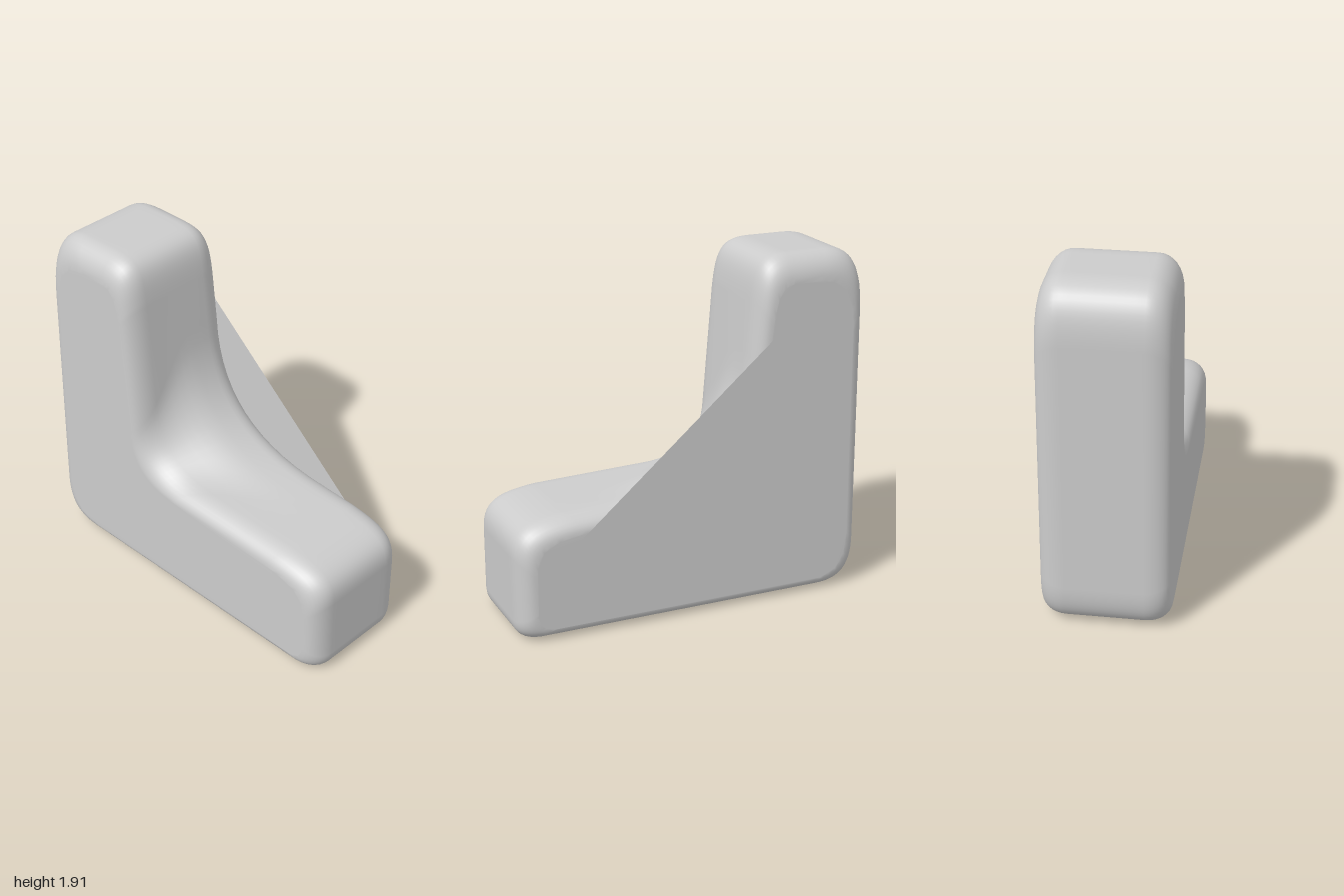
import * as THREE from 'three';

// Closed side outline. k: edge rounding inset (0..1), f: size of the inner fillet
function outline(k, f) {
  const xl = -1 + 0.08 * k, xr = 1 - 0.1 * k;
  const yb = 0.06 * k, yt = 1.915 - 0.15 * k;
  const xi = 0.08 * k, yi = 0.09 * k;
  const cx = -0.29 - xi, cy = 0.69 - yi;
  const s = new THREE.Shape();
  s.moveTo(xl + 0.22, yb);
  s.lineTo(xr - 0.1, yb);
  s.quadraticCurveTo(xr, yb, xr, yb + 0.1);
  s.lineTo(xr, 0.45 - yi);
  s.bezierCurveTo(xr, 0.6 - yi, 0.92 - xi, 0.64 - yi, 0.7 - xi, 0.66 - yi);
  // inner fillet between foot and upright
  s.lineTo(cx + 0.78 * f, cy - 0.02 * f);
  s.quadraticCurveTo(cx, cy, cx - 0.04 * f, cy + 0.7 * f);
  s.lineTo(-0.36 - xi, 1.66 - 0.1 * k);
  s.bezierCurveTo(-0.38 - xi, yt - 0.08, -0.4 - xi, yt, -0.56, yt);
  s.lineTo(xl + 0.22, yt);
  s.bezierCurveTo(xl + 0.06, yt, xl, yt - 0.08, xl, yt - 0.3);
  s.lineTo(xl, yb + 0.25);
  s.bezierCurveTo(xl, yb + 0.08, xl + 0.06, yb, xl + 0.22, yb);
  const pts = s.getPoints(14);
  pts.pop();
  return pts;
}

// Body lofted from front to back through the side outlines
function bodyGeometry() {
  const half = 0.335, depth = 0.13, steps = 8, sections = [];
  for (let i = 0; i <= steps; i++) {
    const a = (i / steps) * Math.PI / 2;
    sections.push([half - depth * (1 - Math.cos(a)), 1 - Math.sin(a)]);
  }
  const backHalf = sections.map(([z, k]) => [-z, k]).reverse();
  for (let i = 1; i < 8; i++) sections.push([(half - depth) * (1 - i / 4), 0]);
  sections.push(...backHalf);

  // the fillet grows from a tight corner in front to a wide sweep behind
  const rings = sections.map(([z, k]) =>
    outline(k, 0.4 + 0.6 * (1 - THREE.MathUtils.smoothstep(z, -0.1, half))));
  const n = rings[0].length, pos = [], index = [];
  rings.forEach((ring, i) => ring.forEach(p => pos.push(p.x, p.y, sections[i][0])));
  for (let i = 0; i < rings.length - 1; i++) {
    for (let j = 0; j < n; j++) {
      const a = i * n + j, b = i * n + (j + 1) % n;
      index.push(a, a + n, b, b, a + n, b + n);
    }
  }
  // end caps
  const last = (rings.length - 1) * n;
  for (const [a, b, c] of THREE.ShapeUtils.triangulateShape(rings[0], [])) index.push(a, b, c);
  for (const [a, b, c] of THREE.ShapeUtils.triangulateShape(rings[rings.length - 1], []))
    index.push(last + a, last + c, last + b);
  const g = new THREE.BufferGeometry();
  g.setAttribute('position', new THREE.Float32BufferAttribute(pos, 3));
  g.setIndex(index);
  g.computeVertexNormals();
  return g;
}

export function createModel() {
  const group = new THREE.Group();
  const body = new THREE.Mesh(bodyGeometry(), new THREE.MeshStandardMaterial({ color: 0xcccccc }));
  body.name = 'lShapedBody';
  group.add(body);

  // flat triangular sheet bridging the inner corner at the back
  const tri = new THREE.Shape([
    new THREE.Vector2(-0.45, 0.5), new THREE.Vector2(0.7, 0.5), new THREE.Vector2(-0.45, 1.49),
  ]);
  const web = new THREE.Mesh(new THREE.ShapeGeometry(tri),
    new THREE.MeshStandardMaterial({ color: 0xcccccc, side: THREE.DoubleSide }));
  web.name = 'backWeb';
  web.position.z = -0.337;
  group.add(web);
  return group;
}
